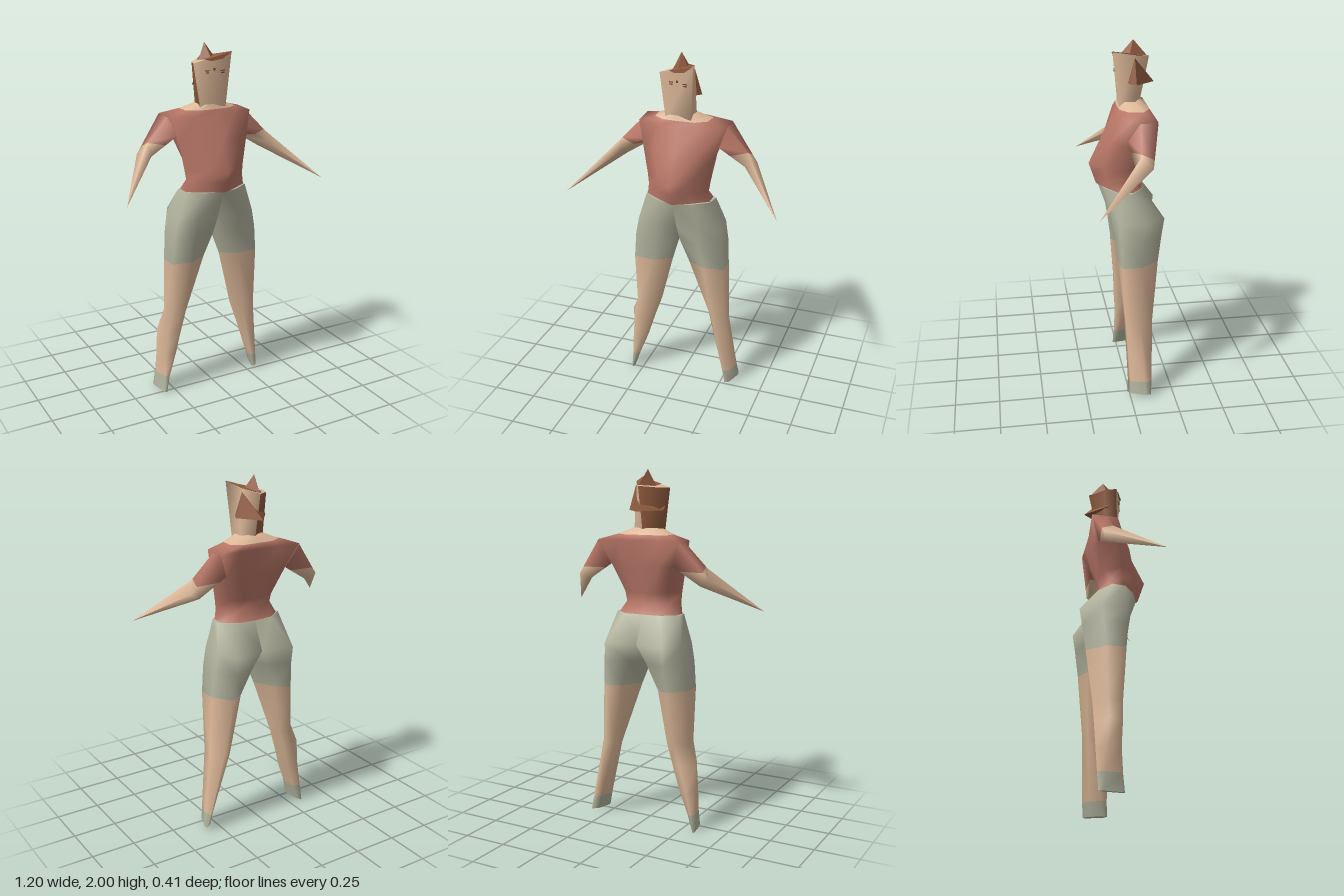
import * as THREE from 'three';
import { ConvexGeometry } from 'three/addons/geometries/ConvexGeometry.js';

const mat = (name, color) => {
  const m = new THREE.MeshStandardMaterial({ color });
  m.name = name;
  return m;
};

// Skin over a stack of rings of [x, y, z]; paint(band, column) gives a material index, -1 leaves a gap
function loft(name, rings, mats, paint, capMats) {
  const n = rings[0].length, pos = rings.flat(2);
  const lists = mats.map(() => []);
  const c = new THREE.Vector3();
  for (let i = 0; i < pos.length; i += 3) c.add(new THREE.Vector3(pos[i], pos[i + 1], pos[i + 2]));
  c.divideScalar(pos.length / 3);
  for (let b = 0; b < rings.length - 1; b++) {
    for (let k = 0; k < n; k++) {
      const m = paint(b, k);
      if (m < 0) continue;
      const p = b * n + k, q = b * n + (k + 1) % n;
      lists[m].push(p, q, q + n, p, q + n, p + n);
    }
  }
  // flat caps with their own corners
  [0, rings.length - 1].forEach((r, end) => {
    const base = pos.length / 3;
    pos.push(...rings[r].flat());
    for (let k = 1; k < n - 1; k++) {
      lists[capMats[end]].push(base, base + (end ? k : k + 1), base + (end ? k + 1 : k));
    }
  });
  // turn the faces outwards
  const at = i => new THREE.Vector3(pos[3 * i], pos[3 * i + 1], pos[3 * i + 2]).sub(c);
  let volume = 0;
  for (const l of lists) {
    for (let i = 0; i < l.length; i += 3) volume += at(l[i]).dot(at(l[i + 1]).cross(at(l[i + 2])));
  }
  const geo = new THREE.BufferGeometry(), index = [];
  lists.forEach((l, m) => {
    if (volume < 0) for (let i = 0; i < l.length; i += 3) [l[i], l[i + 1]] = [l[i + 1], l[i]];
    geo.addGroup(index.length, l.length, m);
    index.push(...l);
  });
  geo.setAttribute('position', new THREE.Float32BufferAttribute(pos, 3));
  geo.setIndex(index);
  geo.computeVertexNormals();
  const mesh = new THREE.Mesh(geo, mats);
  mesh.name = name;
  return mesh;
}

const level = (y, pts) => pts.map(([x, z]) => [x, y, z]);

// Solid hull with flat faces
function hull(name, pts, material) {
  const mesh = new THREE.Mesh(new ConvexGeometry(pts.map(p => new THREE.Vector3(...p))), material);
  mesh.name = name;
  return mesh;
}

export function createModel() {
  const g = new THREE.Group();
  g.name = 'figure';
  const skin = mat('skin', 0xdfba9a);
  const shirt = mat('shirt', 0xba7868);
  const cloth = mat('shorts', 0xb5b6a0);
  const hair = mat('hair', 0x915c40);
  const dark = mat('features', 0x6b3a2a);

  // torso: half outlines from front centre to back centre, mirrored
  const half = [
    [1.21, [[0, 0.15], [0.09, 0.1], [0.18, 0.04], [0.18, -0.035], [0.11, -0.09], [0, -0.1]]],
    [1.27, [[0, 0.17], [0.09, 0.105], [0.175, 0.035], [0.135, -0.03], [0.07, -0.06], [0, -0.07]]],
    [1.33, [[0, 0.19], [0.09, 0.115], [0.183, 0.03], [0.135, -0.05], [0.07, -0.08], [0, -0.085]]],
    [1.48, [[0, 0.118], [0.124, 0.085], [0.21, 0.02], [0.185, -0.105], [0.11, -0.115], [0, -0.115]]],
    [1.62, [[0, 0.05], [0.12, 0.04], [0.24, 0], [0.25, -0.15], [0.13, -0.145], [0, -0.14]]],
    [1.65, [[0, 0.035], [0.09, 0.03], [0.15, -0.01], [0.155, -0.09], [0.09, -0.13], [0, -0.13]]],
    [1.685, [[0, 0.025], [0.045, 0.022], [0.07, 0], [0.07, -0.05], [0.045, -0.075], [0, -0.085]]],
  ];
  const torso = half.map(([y, h]) =>
    level(y, [...h, ...h.slice(1, 5).reverse().map(([x, z]) => [-x, z])]));
  g.add(loft('torso', torso, [shirt, skin], b => (b < 5 ? 0 : 1), [0, 1]));

  // arms: shoulder ring, slanted sleeve hem, elbow ring, pointed hand
  const shoulder = [[0.235, 1.622, -0.06], [0.25, 1.615, -0.15], [0.19, 1.485, -0.105], [0.21, 1.52, 0.005]];
  const elbow = [[0.37, 1.48, -0.045], [0.405, 1.42, -0.1], [0.35, 1.385, -0.09], [0.36, 1.42, -0.01]];
  const hem = [0.95, 0.8, 0.25, 0.45];
  const cuff = shoulder.map((p, i) => p.map((v, k) => v + (elbow[i][k] - v) * hem[i]));
  const hand = elbow.map(p => [0.6, 1.23, 0.205].map((v, k) => v + (p[k] - v) * 0.005));
  for (const s of [1, -1]) {
    const rings = [shoulder, cuff, elbow, hand].map(r => r.map(([x, y, z]) => [s * x, y, z]));
    g.add(loft(s > 0 ? 'leftArm' : 'rightArm', rings, [shirt, skin], b => (b ? 1 : 0), [0, 1]));
  }

  // legs: shared hip and thigh, differing shins; outline runs inner front, front, outer, back, inner back
  const thigh = [
    [1.21, [[0, 0.14], [0.1, 0.11], [0.185, 0.05], [0.2, -0.025], [0.11, -0.095], [0, -0.09]]],
    [1.05, [[0, 0.075], [0.13, 0.085], [0.235, 0.05], [0.24, -0.09], [0.18, -0.205], [0, -0.165]]],
    [0.95, [[0, 0.025], [0.13, 0.07], [0.255, 0.045], [0.258, -0.08], [0.18, -0.19], [0.05, -0.145]]],
    [0.8, [[0.05, -0.005], [0.15, 0.05], [0.268, 0.04], [0.268, -0.07], [0.19, -0.17], [0.115, -0.125]]],
  ];
  const shins = {
    leftLeg: [
      [0.45, [[0.155, -0.06], [0.2, 0.02], [0.27, 0.02], [0.28, -0.06], [0.23, -0.135], [0.18, -0.11]]],
      [0.1, [[0.26, -0.02], [0.268, 0.01], [0.305, 0], [0.33, -0.08], [0.317, -0.12], [0.283, -0.09]]],
      [0.02, [[0.28, -0.005], [0.285, 0.015], [0.31, 0], [0.34, -0.09], [0.337, -0.115], [0.305, -0.09]]],
    ],
    rightLeg: [
      [0.5, [[0.135, -0.05], [0.18, 0.025], [0.265, 0.02], [0.278, -0.06], [0.22, -0.135], [0.165, -0.11]]],
      [0.38, [[0.175, -0.04], [0.21, 0.02], [0.29, 0.015], [0.327, -0.06], [0.25, -0.13], [0.2, -0.11]]],
      [0.23, [[0.22, -0.025], [0.25, 0.015], [0.305, 0.005], [0.328, -0.07], [0.29, -0.125], [0.24, -0.1]]],
      [0.1, [[0.27, -0.015], [0.285, 0.015], [0.31, 0.005], [0.332, -0.08], [0.315, -0.12], [0.285, -0.09]]],
      [0, [[0.303, -0.005], [0.306, 0.02], [0.318, 0.01], [0.335, -0.09], [0.333, -0.115], [0.316, -0.09]]],
    ],
  };
  for (const [name, shin] of Object.entries(shins)) {
    const s = name === 'leftLeg' ? 1 : -1;
    const rings = [...thigh, ...shin].map(([y, o]) => level(y, o.map(([x, z]) => [s * x, z])));
    const last = rings.length - 2;
    const paint = (b, k) => (b < 1 && k === 5 ? -1 : b < 3 || b === last ? 0 : 1);
    g.add(loft(name, rings, [cloth, skin], paint, [0, 0]));
  }

  // head: five-sided, turned slightly, hair on the right and back panels
  const neck = level(1.66, [[-0.08, 0.02], [0.07, 0.03], [0.075, -0.05], [0, -0.09], [-0.075, -0.05]]);
  const crown = [[-0.115, 1.9, 0.01], [0.085, 1.957, 0.066], [0.055, 1.93, -0.06], [0, 1.91, -0.14], [-0.09, 1.9, -0.06]];
  g.add(loft('head', [neck, crown], [skin, hair], (b, k) => (k > 2 ? 1 : 0), [0, 0]));

  // hair: top wedge, spike, back tuft and a thin fringe on the forehead
  g.add(hull('hairTop', [[-0.05, 1.918, 0.025], [0.087, 1.96, 0.067], [0.057, 1.933, -0.06], [0, 1.915, -0.142],
    [-0.06, 1.908, -0.06], [0.02, 1.915, 0.04]], hair));
  g.add(hull('hairSpike', [[-0.055, 1.915, -0.04], [0.035, 1.92, -0.03], [-0.01, 1.915, 0.02],
    [0, 1.915, -0.13], [-0.015, 2, -0.057]], hair));
  g.add(hull('hairTuft', [[0.1, 1.78, -0.06], [0.082, 1.785, -0.02], [0.06, 1.915, -0.056], [-0.1, 1.78, -0.04],
    [-0.1, 1.8, -0.02], [0, 1.775, -0.168]], hair));
  const fringe = [[-0.055, 1.919], [0.086, 1.957], [0.035, 1.92], [-0.02, 1.911]];
  g.add(hull('fringe', fringe.flatMap(([x, y]) =>
    [-0.004, 0.004].map(d => [x, y, 0.042 + 0.28 * x + d])), hair));

  // face: thin plates lying on the front panel
  const face = (name, x, y, w, h) => {
    const plate = new THREE.Mesh(new THREE.BoxGeometry(w, h, 0.009), dark);
    plate.position.set(x, y, 0.039 + 0.245 * x);
    plate.rotation.set(-0.1, -0.24, 0);
    plate.name = name;
    g.add(plate);
  };
  for (const s of [1, -1]) {
    face('eyebrow', s * 0.041, 1.859, 0.024, 0.005);
    face('eye', s * 0.041, 1.848, 0.018, 0.006);
  }
  face('nose', -0.004, 1.866, 0.012, 0.012);
  return g;
}
